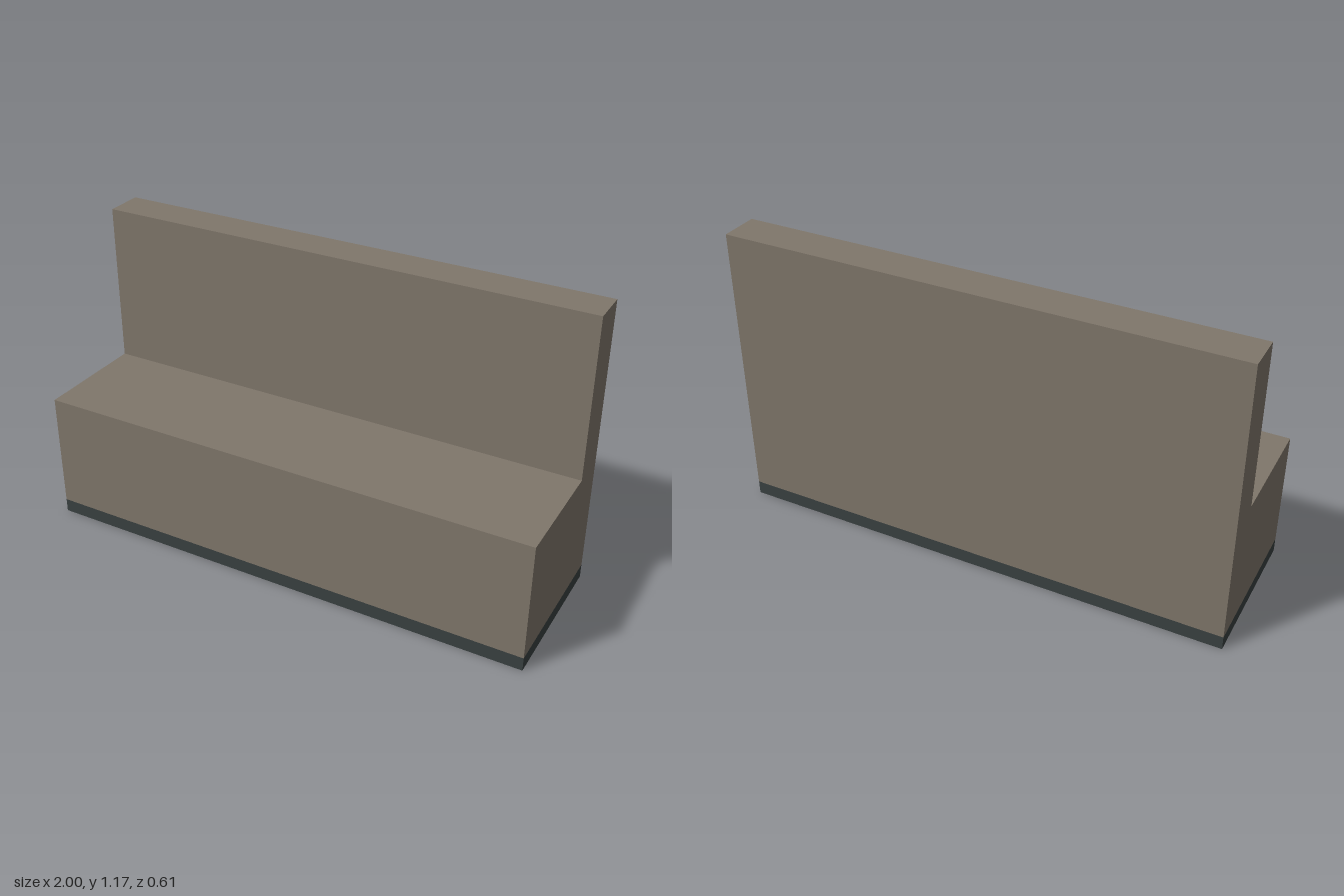
import * as THREE from 'three';

const WIDTH = 2, DEPTH = 0.61;
const BASE_TOP = 0.055, SEAT_TOP = 0.525, BACK_TOP = 1.167;
const BACK_FRONT_Z = -0.152;

export function createModel() {
  const upholstery = new THREE.MeshStandardMaterial({ color: 0x80776b });
  upholstery.name = 'taupe upholstery';
  const plinth = new THREE.MeshStandardMaterial({ color: 0x3a4141 });
  plinth.name = 'dark plinth';

  const group = new THREE.Group();
  group.name = 'bench';

  // Seat and backrest: one L-shaped side profile (z, y) swept across the width
  const h = DEPTH / 2;
  const profile = new THREE.Shape([
    [-h, BASE_TOP], [h, BASE_TOP], [h, SEAT_TOP],
    [BACK_FRONT_Z, SEAT_TOP], [BACK_FRONT_Z, BACK_TOP], [-h, BACK_TOP],
  ].map(([z, y]) => new THREE.Vector2(z, y)));
  const bodyGeometry = new THREE.ExtrudeGeometry(profile, { depth: WIDTH, bevelEnabled: false })
    .translate(0, 0, -WIDTH / 2)
    .rotateY(-Math.PI / 2);
  const body = new THREE.Mesh(bodyGeometry, upholstery);
  body.name = 'seatAndBackrest';

  // Flush plinth under the seat
  const base = new THREE.Mesh(new THREE.BoxGeometry(WIDTH, BASE_TOP, DEPTH), plinth);
  base.name = 'basePlinth';
  base.position.y = BASE_TOP / 2;

  group.add(body, base);
  return group;
}
